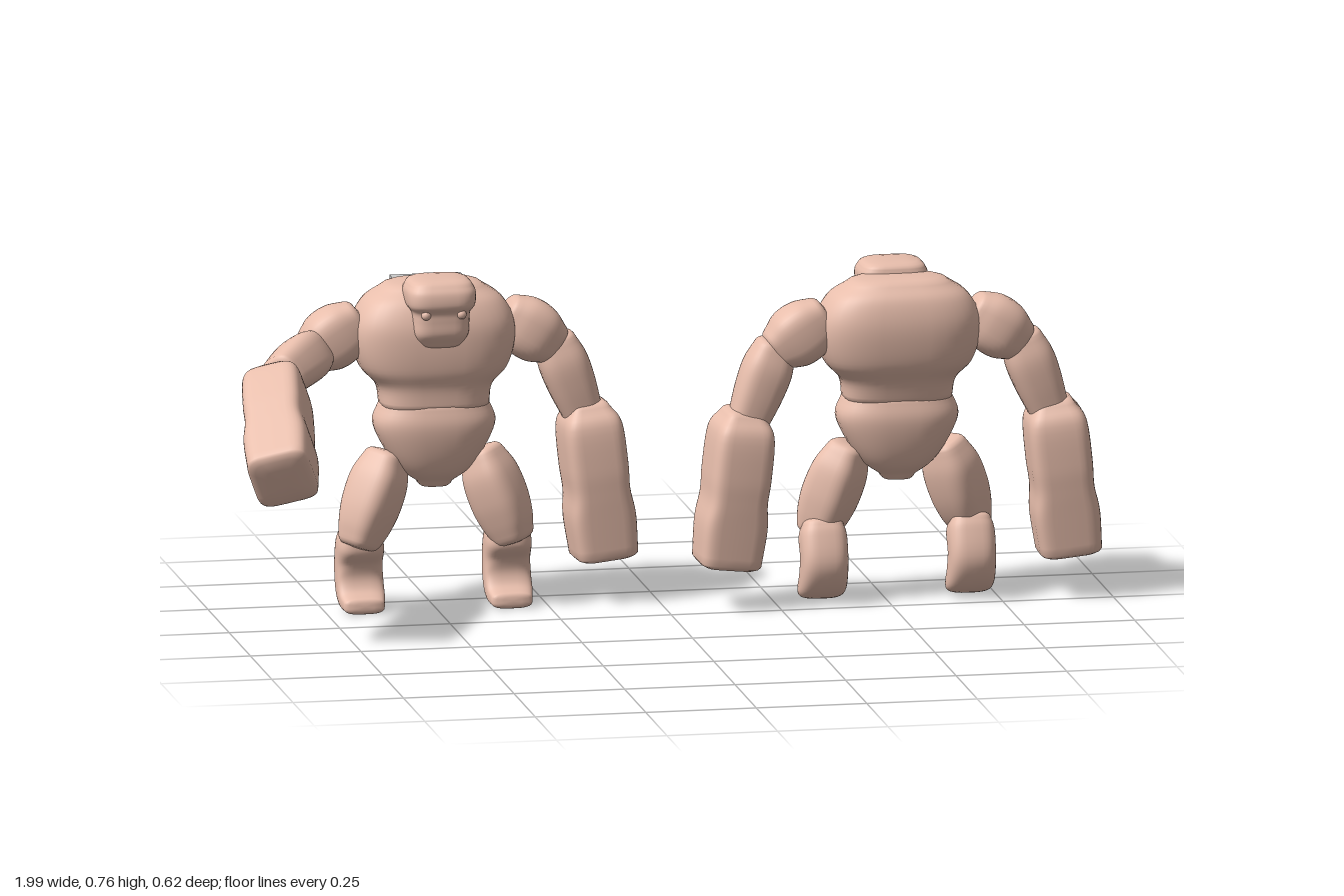
import * as THREE from 'three';

const skin = new THREE.MeshStandardMaterial({ color: 0xe8beac });
const grey = new THREE.MeshStandardMaterial({ color: 0xcccccc });
const V = (x, y, z) => new THREE.Vector3(x, y, z);
const SEG = 36;

// Smooth loft through sections [y, halfWidth, halfDepth, centreX, centreZ, pitch];
// n sets how square the cross-section is. The ends are rounded off by r.
function loft(sections, n = 2.6, r = 0.014) {
  const spline = (f) => new THREE.CatmullRomCurve3(sections.map(f), false, 'catmullrom', 0.5);
  const centre = spline(([y, , , x = 0, z = 0]) => V(x, y, z));
  const size = spline(([, w, d, , , p = 0]) => V(w, d, p));
  const steps = (sections.length - 1) * 5;
  const rings = [];
  const add = (t, scale, push) => {
    const s = size.getPoint(t);
    const c = centre.getPoint(t).add(V(0, Math.cos(s.z), Math.sin(s.z)).multiplyScalar(push));
    rings.push({ c, w: s.x * scale, d: s.y * scale, p: s.z });
  };
  const caps = [[0.45, 1], [0.78, 0.8], [0.93, 0.42]];
  caps.forEach(([s, h]) => add(0, s, -r * h));
  for (let i = 0; i <= steps; i++) add(i / steps, 1, 0);
  caps.reverse().forEach(([s, h]) => add(1, s, r * h));

  const pos = [], idx = [];
  const bend = (v) => Math.sign(v) * Math.pow(Math.abs(v), 2 / n);
  for (const { c, w, d, p } of rings) {
    for (let j = 0; j < SEG; j++) {
      const a = (j / SEG) * Math.PI * 2;
      const z = d * bend(Math.sin(a));
      pos.push(c.x + w * bend(Math.cos(a)), c.y - z * Math.sin(p), c.z + z * Math.cos(p));
    }
  }
  const last = (rings.length - 1) * SEG, pole = rings.length * SEG;
  pos.push(...rings[0].c.toArray(), ...rings[rings.length - 1].c.toArray());
  for (let j = 0; j < SEG; j++) {
    const k = (j + 1) % SEG;
    for (let i = 0; i < last; i += SEG) {
      idx.push(i + j, i + SEG + j, i + k, i + SEG + j, i + SEG + k, i + k);
    }
    idx.push(pole, j, k, pole + 1, last + k, last + j);
  }
  const g = new THREE.BufferGeometry();
  g.setAttribute('position', new THREE.Float32BufferAttribute(pos, 3));
  g.setIndex(idx);
  g.computeVertexNormals();
  return g;
}

// Shared part shapes; limb shapes run along +y from 0
const shapes = {
  chest: loft([[0.47, 0.122, 0.08], [0.515, 0.13, 0.088, 0, -0.005], [0.555, 0.165, 0.105, 0, -0.01],
    [0.61, 0.182, 0.112, 0, -0.013], [0.66, 0.18, 0.11, 0, -0.015], [0.705, 0.155, 0.095, 0, -0.018],
    [0.733, 0.115, 0.07, 0, -0.02]], 2.9),
  pelvis: loft([[0.295, 0.04, 0.04], [0.325, 0.08, 0.066], [0.375, 0.115, 0.083], [0.43, 0.137, 0.09],
    [0.475, 0.122, 0.08]], 2.6),
  head: loft([[0.622, 0.05, 0.042, 0, 0.065], [0.645, 0.062, 0.055, 0, 0.067], [0.675, 0.064, 0.058, 0, 0.066],
    [0.695, 0.066, 0.061, 0, 0.065], [0.712, 0.076, 0.072, 0, 0.066], [0.74, 0.078, 0.072, 0, 0.064],
    [0.758, 0.07, 0.064, 0, 0.06]], 3.6, 0.011),
  shoulder: loft([[0, 0.05, 0.048], [0.04, 0.066, 0.06], [0.085, 0.066, 0.062], [0.125, 0.048, 0.05]], 3),
  upperArm: loft([[0, 0.045, 0.045], [0.05, 0.055, 0.056], [0.11, 0.053, 0.055], [0.18, 0.044, 0.048]], 3),
  fist: loft([[0, 0.045, 0.055], [0.04, 0.066, 0.08], [0.13, 0.069, 0.086], [0.19, 0.067, 0.084],
    [0.25, 0.074, 0.08], [0.335, 0.07, 0.074]], 5),
  thigh: loft([[0, 0.042, 0.045], [0.05, 0.056, 0.06], [0.11, 0.06, 0.06], [0.16, 0.055, 0.052],
    [0.2, 0.043, 0.042]], 3),
  // Shin curling under into a foot, from toe to knee
  shin: loft([[0.024, 0.046, 0.018, 0, 0.055, -1.65], [0.034, 0.052, 0.025, 0, 0.025, -1.4],
    [0.06, 0.053, 0.04, 0, -0.005, -0.85], [0.105, 0.052, 0.048, 0, -0.018, -0.2],
    [0.155, 0.052, 0.05, 0, 0, 0.25], [0.185, 0.044, 0.042, 0, 0.008, 0.25]], 3.2, 0.01),
};

function part(parent, name, geometry, material = skin) {
  const mesh = new THREE.Mesh(geometry, material);
  mesh.name = name;
  parent.add(mesh);
  return mesh;
}

// Lay a limb shape from point a toward point b, turned by yaw about its own length
function limb(parent, name, geometry, a, b, yaw = 0) {
  const mesh = part(parent, name, geometry);
  mesh.position.copy(a);
  mesh.quaternion.setFromUnitVectors(V(0, 1, 0), b.clone().sub(a).normalize());
  mesh.rotateY(yaw);
}

function golem(name, rightArmRaised) {
  const g = new THREE.Group();
  g.name = name;
  part(g, 'chest', shapes.chest);
  part(g, 'pelvis', shapes.pelvis);
  part(g, 'head', shapes.head);

  for (const s of [1, -1]) {
    const side = s > 0 ? 'left' : 'right';
    part(g, side + 'Eye', new THREE.SphereGeometry(0.011, 16, 12)).position.set(s * 0.04, 0.693, 0.121);

    // Arms
    limb(g, side + 'Shoulder', shapes.shoulder, V(s * 0.17, 0.657, -0.02), V(s * 0.275, 0.588, -0.02));
    if (s < 0 && rightArmRaised) {
      limb(g, 'rightUpperArm', shapes.upperArm, V(-0.27, 0.595, -0.005), V(-0.385, 0.57, 0.17));
      limb(g, 'rightFist', shapes.fist, V(-0.387, 0.565, 0.16), V(-0.43, 0.405, 0.465), 0.15);
    } else {
      limb(g, side + 'UpperArm', shapes.upperArm, V(s * 0.278, 0.595, -0.02), V(s * 0.34, 0.43, -0.02));
      limb(g, side + 'Fist', shapes.fist, V(s * 0.35, 0.445, -0.018), V(s * 0.388, 0.1, -0.012), -s * 0.35);
    }

    // Legs
    limb(g, side + 'Thigh', shapes.thigh, V(s * 0.108, 0.352, 0.005), V(s * 0.175, 0.165, 0.03));
    part(g, side + 'Shin', shapes.shin).position.x = s * 0.167;
  }
  return g;
}

export function createModel() {
  const model = new THREE.Group();
  model.name = 'twoGolems';

  // Front-facing figure with one arm reaching out and a block on its back
  const front = golem('frontFacingGolem', true);
  front.position.set(-0.501, 0, -0.19);
  part(front, 'backBlock', new THREE.BoxGeometry(0.16, 0.1, 0.105), grey).position.set(0, 0.69, -0.053);

  // Second figure turned away
  const back = golem('backFacingGolem', false);
  back.position.set(0.523, 0, -0.07);
  back.rotation.y = Math.PI;

  model.add(front, back);
  return model;
}
